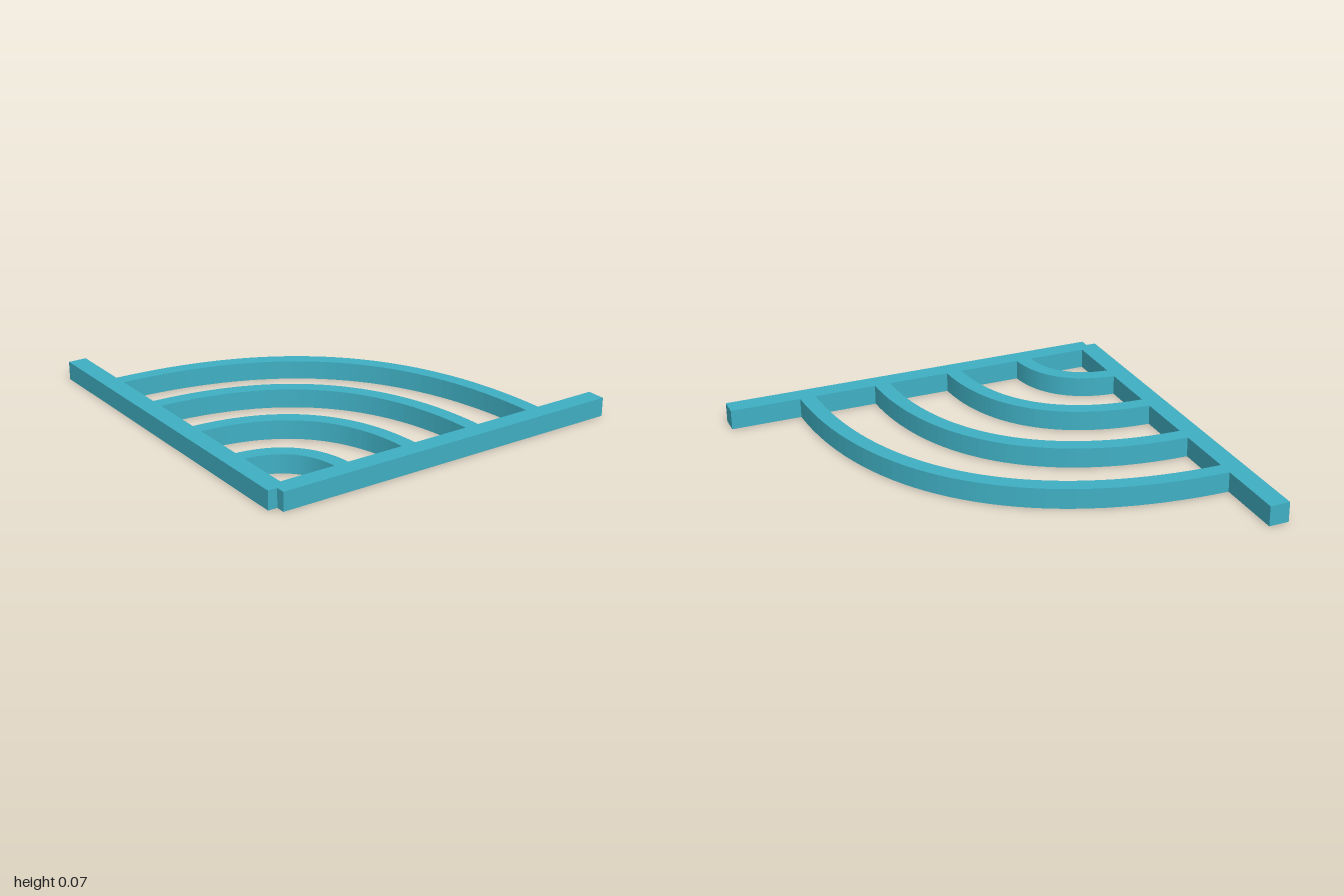
import * as THREE from 'three';

const ARM = 1.379, ARM_W = 0.07, RIB_W = 0.056, HEIGHT = 0.07, APEX_Z = 0.575;

// Flat outline extruded upwards from the ground; shape y points to the back
function slab(points) {
  const geo = new THREE.ExtrudeGeometry(new THREE.Shape(points), { depth: HEIGHT, bevelEnabled: false });
  return geo.rotateX(-Math.PI / 2);
}

// Curved rib that leaves both arms at right angles, at distance r from the apex
function ribGeometry(r, segments = 36) {
  const k = 0.64 * r;
  const curve = new THREE.CubicBezierCurve(
    new THREE.Vector2(r, 0), new THREE.Vector2(r, k),
    new THREE.Vector2(k, r), new THREE.Vector2(0, r));
  const start = 0.03 / (3 * k); // ends just inside the arms
  const outer = [], inner = [];
  for (let i = 0; i <= segments; i++) {
    const t = start + (1 - 2 * start) * i / segments;
    const p = curve.getPoint(t), d = curve.getTangent(t);
    const side = new THREE.Vector2(d.y, -d.x).multiplyScalar(RIB_W / 2);
    outer.push(p.clone().add(side));
    inner.push(p.clone().sub(side));
  }
  return slab([...outer, ...inner.reverse()]);
}

export function createModel() {
  const group = new THREE.Group();
  group.name = 'fanFrame';
  const material = new THREE.MeshStandardMaterial({ color: 0x40b0c4 });

  const add = (geometry, name, angle) => {
    const mesh = new THREE.Mesh(geometry, material);
    mesh.name = name;
    mesh.rotation.y = angle;
    mesh.position.z = APEX_Z;
    group.add(mesh);
  };

  // Two straight arms meeting at the front
  const arm = new THREE.BoxGeometry(ARM, HEIGHT, ARM_W).translate(ARM / 2, HEIGHT / 2, 0);
  add(arm, 'leftArm', Math.PI / 4);
  add(arm, 'rightArm', 3 * Math.PI / 4);

  // Four evenly spaced curved ribs
  for (let i = 1; i <= 4; i++) add(ribGeometry(ARM * i / 5), `curvedRib${i}`, Math.PI / 4);

  return group;
}
